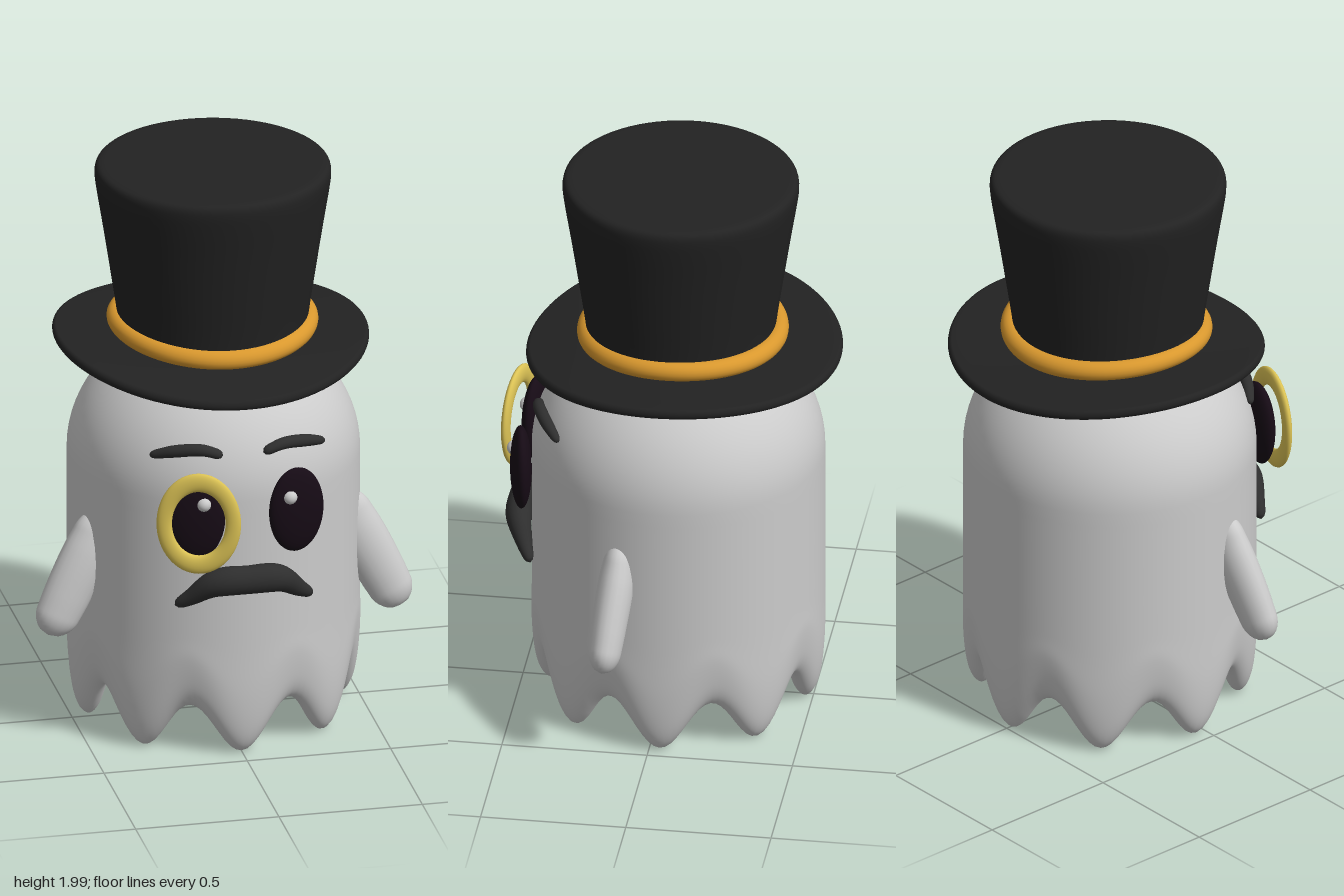
import * as THREE from 'three';
import { mergeVertices } from 'three/addons/utils/BufferGeometryUtils.js';

const V2 = (x, y) => new THREE.Vector2(x, y);
const BODY_Z = -0.035;
const HAT_Z = -0.05;

const paint = (color) => new THREE.MeshStandardMaterial({ color, roughness: 0.8 });
const grey = paint(0xcccccc);
const felt = paint(0x222222);
const hair = paint(0x2e2e2e);
const amber = paint(0xd9982e);
const brass = paint(0xdcc355);
const dark = paint(0x160b15);

// Weld seams and recompute smooth normals
function smooth(geo) {
  geo.deleteAttribute('uv');
  geo.deleteAttribute('normal');
  const welded = mergeVertices(geo, 1e-5);
  welded.computeVertexNormals();
  return welded;
}

// Shift every vertex vertically by rule(x, y, z)
function shiftY(geo, rule) {
  const p = geo.attributes.position;
  for (let i = 0; i < p.count; i++) {
    p.setY(i, p.getY(i) + rule(p.getX(i), p.getY(i), p.getZ(i)));
  }
  return smooth(geo);
}

// Tube with varying radius, rounded ends and optional flattening in z
function taperedTube(points, radii, cap, flatZ = 1) {
  const n = 48, m = 20;
  const curve = new THREE.CatmullRomCurve3(points.map((p) => new THREE.Vector3(...p)));
  const radius = new THREE.SplineCurve(radii.map((r, i) => V2(i, r)));
  const geo = new THREE.TubeGeometry(curve, n, 1, m);
  const p = geo.attributes.position;
  const v = new THREE.Vector3();
  for (let i = 0; i <= n; i++) {
    const t = i / n;
    const c = curve.getPointAt(t);
    const e = Math.min(1, Math.min(t, 1 - t) / cap);
    const r = radius.getPoint(t).y * Math.sqrt(Math.max(0, 1 - (1 - e) ** 2));
    for (let j = 0; j <= m; j++) {
      const k = i * (m + 1) + j;
      v.fromBufferAttribute(p, k).sub(c).multiplyScalar(r);
      p.setXYZ(k, c.x + v.x, c.y + v.y, c.z + v.z * flatZ);
    }
  }
  return smooth(geo);
}

// Hollow sheet: inner dome, rounded hem, outer dome; the hem is cut into eight lobes
function bodyGeometry() {
  const dome = (r, h, a) => V2(r * Math.cos(a), 0.95 + h * Math.sin(a));
  const inner = [], outer = [];
  for (let i = 0; i <= 20; i++) {
    const a = (i / 20) * Math.PI / 2;
    inner.unshift(dome(0.4, 0.36, a));
    outer.push(dome(0.5, 0.45, a));
  }
  inner[0].x = outer[20].x = 0;
  const hem = new THREE.SplineCurve([
    V2(0.4, 0.9), V2(0.4, 0.65), V2(0.395, 0.4), V2(0.385, 0.2), V2(0.39, 0.08), V2(0.41, 0.02),
    V2(0.44, 0), V2(0.47, 0.03), V2(0.49, 0.1), V2(0.5, 0.22), V2(0.5, 0.4), V2(0.5, 0.65), V2(0.5, 0.9),
  ]).getPoints(72);
  const geo = new THREE.LatheGeometry([...inner, ...hem, ...outer], 144);
  return shiftY(geo, (x, y, z) => {
    const wave = 0.092 - 0.085 * Math.cos(8 * Math.atan2(x, z));
    return wave * (1 - THREE.MathUtils.smoothstep(y, 0.1, 0.55));
  });
}

// Gentle bend shared by the brim and the band: front and back droop, sides lift
function brimBend(x, y, z) {
  const a = Math.atan2(x, z);
  const q = (x * x + z * z) / (0.54 * 0.54);
  return q * (-0.016 - 0.015 * Math.cos(a) - 0.024 * Math.cos(2 * a) - 0.01 * Math.sin(a));
}

export function createModel() {
  const root = new THREE.Group();
  const add = (parent, name, geo, mat, x = 0, y = 0, z = 0) => {
    const mesh = new THREE.Mesh(geo, mat);
    mesh.name = name;
    mesh.position.set(x, y, z);
    parent.add(mesh);
    return mesh;
  };

  add(root, 'body', bodyGeometry(), grey, 0, 0, BODY_Z);

  // Paired parts: arms, eyes, highlights and eyebrows
  for (const [side, s] of [['left', 1], ['right', -1]]) {
    const arm = taperedTube(
      [[0.42 * s, 0.81, 0.1], [0.47 * s, 0.67, 0.11], [0.54 * s, 0.53, 0.125], [0.615 * s, 0.38, 0.14]],
      [0.06, 0.085, 0.083, 0.072], 0.16, 0.72);
    add(root, side + 'Arm', arm, grey);

    const eye = add(root, side + 'Eye', new THREE.SphereGeometry(1, 40, 28), dark, 0.175 * s, 0.915, 0.482);
    eye.scale.set(0.1, 0.153, 0.037);
    eye.rotation.y = 0.2 * s;

    add(root, side + 'EyeHighlight', new THREE.SphereGeometry(0.026, 20, 14), grey,
      s > 0 ? 0.147 : -0.153, 0.973, 0.508);

    const brow = taperedTube(
      [[0.07 * s, 1.115, 0.435], [0.14 * s, 1.137, 0.425], [0.22 * s, 1.127, 0.39], [0.305 * s, 1.098, 0.335]],
      [0.017, 0.021, 0.021, 0.014], 0.1);
    add(root, side + 'Eyebrow', brow, hair);
  }

  // Moustache arching over the front
  add(root, 'moustache', taperedTube(
    [[-0.24, 0.58, 0.44], [-0.19, 0.615, 0.465], [-0.11, 0.672, 0.497], [0, 0.68, 0.508],
      [0.11, 0.672, 0.497], [0.19, 0.615, 0.465], [0.24, 0.58, 0.44]],
    [0.018, 0.034, 0.05, 0.05, 0.05, 0.034, 0.018], 0.06, 0.9), hair);

  // Oval eyeglass ring in front of the right eye
  const ring = add(root, 'monocle', new THREE.TorusGeometry(0.151, 0.034, 20, 64), brass, -0.178, 0.917, 0.54);
  ring.scale.set(0.78, 1, 0.42);
  ring.rotation.y = -0.25;

  // Hat: flared crown, bent brim and band
  const hat = new THREE.Group();
  hat.name = 'hat';
  hat.position.z = HAT_Z;
  root.add(hat);

  const wall = new THREE.SplineCurve([
    V2(0.315, 1.34), V2(0.327, 1.45), V2(0.349, 1.6), V2(0.375, 1.77), V2(0.396, 1.9), V2(0.403, 1.955),
    V2(0.401, 1.982), V2(0.39, 1.996), V2(0.37, 2),
  ]).getPoints(48);
  const crown = new THREE.LatheGeometry([...wall, V2(0.2, 2), V2(0, 2)], 72);
  add(hat, 'hatCrown', crown, felt, 0, 0, 0.007);

  const edge = [];
  for (let i = 0; i <= 10; i++) {
    const a = (i / 10 - 0.5) * Math.PI;
    edge.push(V2(0.526 + 0.014 * Math.cos(a), 1.365 + 0.018 * Math.sin(a)));
  }
  const radii = [0.2, 0.26, 0.32, 0.38, 0.44, 0.49];
  const brim = new THREE.LatheGeometry([
    ...radii.map((r) => V2(r, 1.347)), ...edge, ...radii.reverse().map((r) => V2(r, 1.383)),
  ], 96);
  add(hat, 'hatBrim', shiftY(brim, brimBend), felt, -0.005, 0, -0.005);

  const band = new THREE.TorusGeometry(0.327, 0.034, 20, 96);
  band.rotateX(Math.PI / 2);
  band.translate(0, 1.422, 0);
  add(hat, 'hatBand', shiftY(band, brimBend), amber);

  return root;
}
